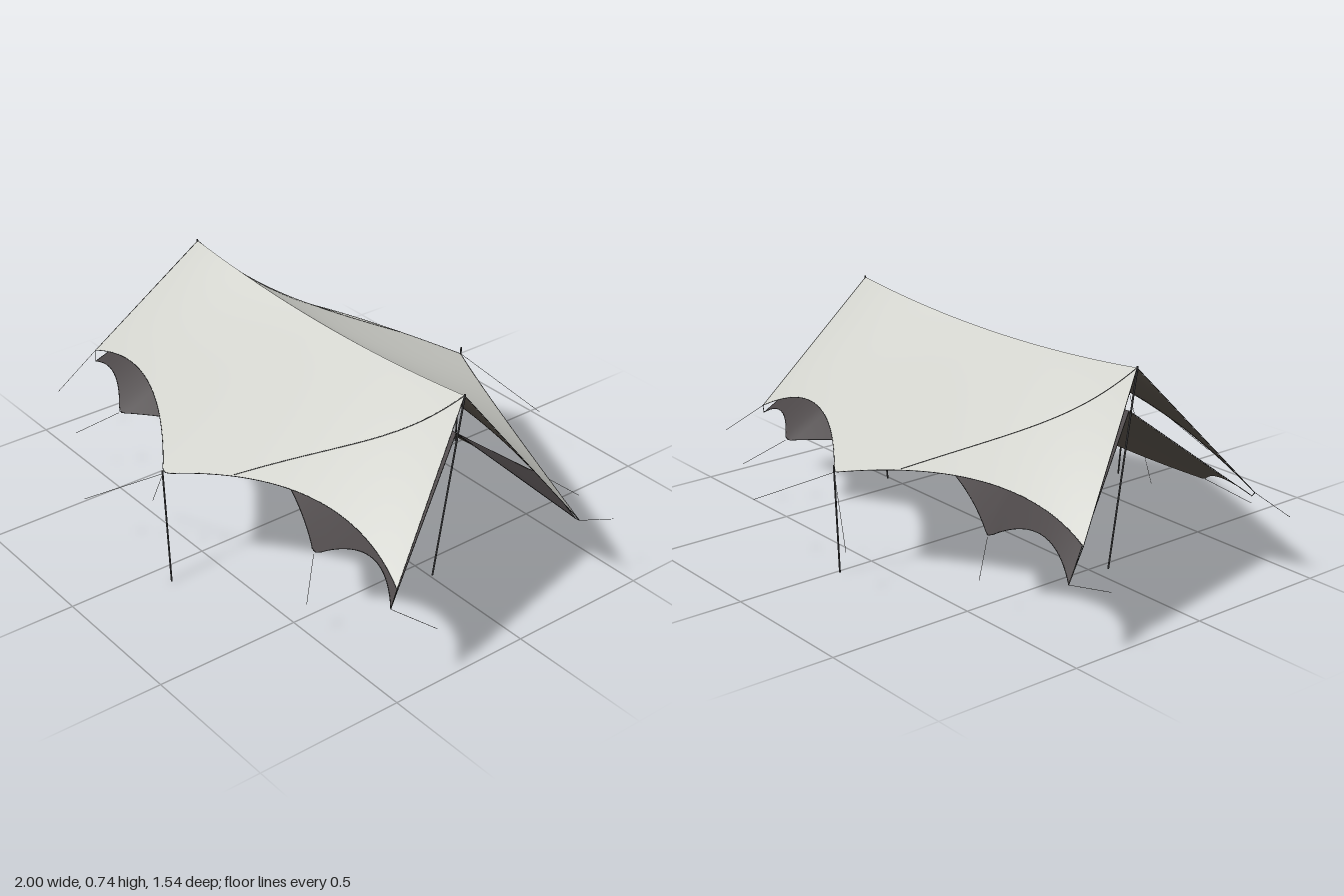
import * as THREE from 'three';

const V = (p) => new THREE.Vector3(...p);

// Curve through corner points with a scalloped arc between each pair:
// nodes = [corner, arcMiddle, corner, arcMiddle, corner ...], sampled by u = 0..1
function scallopedEdge(nodes) {
  const pts = nodes.map(V);
  const x0 = pts[0].x, span = pts[pts.length - 1].x - x0;
  return (u) => {
    let i = 0;
    while (i + 4 < pts.length && (pts[i + 2].x - x0) / span < u) i += 2;
    const [a, m, b] = [pts[i], pts[i + 1], pts[i + 2]];
    const ua = (a.x - x0) / span, ub = (b.x - x0) / span;
    const t = THREE.MathUtils.clamp((u - ua) / (ub - ua), 0, 1);
    const c = m.clone().multiplyScalar(2).addScaledVector(a, -0.5).addScaledVector(b, -0.5);
    return new THREE.QuadraticBezierCurve3(a, c, b).getPoint(t);
  };
}

// Cloth surface hung between a sagging ridge and a scalloped lower edge
function clothSurface(ridge, nodes) {
  const edge = scallopedEdge(nodes);
  const first = V(nodes[0]), last = V(nodes[nodes.length - 1]);
  return (u, v) => {
    const s = 2 * u - 1;
    const top = new THREE.Vector3(ridge.x * s, ridge.mid + (ridge.end - ridge.mid) * s * s, 0);
    const chord = first.clone().lerp(last, u);
    const bulge = edge(u).sub(chord);
    return top.lerp(chord, v).addScaledVector(bulge, Math.pow(v, 1.2));
  };
}

function clothGeometry(surface, flip, nu = 80, nv = 16) {
  const pos = [], idx = [];
  for (let j = 0; j <= nv; j++)
    for (let i = 0; i <= nu; i++) pos.push(...surface(i / nu, j / nv).toArray());
  for (let j = 0; j < nv; j++)
    for (let i = 0; i < nu; i++) {
      const a = j * (nu + 1) + i, b = a + 1, c = a + nu + 1, d = c + 1;
      if (flip) idx.push(a, b, c, b, d, c);
      else idx.push(a, c, b, b, c, d);
    }
  const g = new THREE.BufferGeometry();
  g.setAttribute('position', new THREE.Float32BufferAttribute(pos, 3));
  g.setIndex(idx);
  g.computeVertexNormals();
  return g;
}

export function createModel() {
  const model = new THREE.Group();
  model.name = 'tarpShelter';
  const material = (name, color) => {
    const m = new THREE.MeshStandardMaterial({ color });
    m.name = name;
    return m;
  };
  const canvas = material('paleCanvas', 0xd1d2cc);
  const lining = material('darkLining', 0x4a4546);
  const underside = material('brownUnderside', 0x534d45);
  const poleMat = material('poleGrey', 0x444446);
  const cordMat = material('cordGrey', 0x6a6a6a);
  const trim = material('blackTrim', 0x2a2a2a);

  const add = (geometry, mat, name) => {
    const mesh = new THREE.Mesh(geometry, mat);
    mesh.name = name;
    model.add(mesh);
    return mesh;
  };
  const rod = (from, to, radius, mat, name, sides = 8) => {
    const a = V(from), b = V(to), dir = b.clone().sub(a);
    const mesh = add(new THREE.CylinderGeometry(radius, radius, dir.length(), sides), mat, name);
    mesh.position.copy(a).add(b).multiplyScalar(0.5);
    mesh.quaternion.setFromUnitVectors(new THREE.Vector3(0, 1, 0), dir.normalize());
  };
  const tube = (fn, n, radius, mat, name) => {
    const pts = Array.from({ length: n + 1 }, (_, i) => fn(i / n));
    add(new THREE.TubeGeometry(new THREE.CatmullRomCurve3(pts), n, radius, 5), mat, name);
  };

  // Corners of the upper sheet and the lower lining
  const outer = {
    frontLeft: [0.93, 0.345, 0.45], frontRight: [-0.91, 0.31, 0.32], frontMid: [0.02, 0.37, 0.65],
    backLeft: [0.91, 0.26, -0.32], backRight: [-0.9, 0.315, -0.39], backMid: [-0.02, 0.35, -0.65],
  };
  const inner = {
    frontLeft: [0.945, 0.3, 0.485], frontRight: [-0.88, 0.285, 0.34],
    backLeft: [0.88, 0.245, -0.335], backRight: [-0.95, 0.24, -0.49],
  };
  const low = {
    frontLeft: [0.5, 0.225, 0.42], frontRight: [-0.59, 0.235, 0.43], frontMid: [0, 0.345, 0.27],
    backLeft: [0.59, 0.24, -0.435], backRight: [-0.5, 0.225, -0.42], backMid: [0, 0.345, -0.27],
  };
  const outerRidge = { x: 0.7, end: 0.73, mid: 0.69 };
  const innerRidge = { x: 0.67, end: 0.585, mid: 0.565 };

  const panels = [
    ['upperFront', outerRidge, canvas, false,
      [outer.frontRight, [-0.42, 0.435, 0.415], outer.frontMid, [0.5, 0.435, 0.43], outer.frontLeft]],
    ['upperBack', outerRidge, canvas, true,
      [outer.backRight, [-0.5, 0.405, -0.43], outer.backMid, [0.42, 0.41, -0.415], outer.backLeft]],
    ['lowerFront', innerRidge, lining, false,
      [inner.frontRight, [-0.73, 0.3, 0.355], low.frontRight, [-0.29, 0.295, 0.315], low.frontMid,
        [0.25, 0.29, 0.315], low.frontLeft, [0.72, 0.32, 0.38], inner.frontLeft]],
    ['lowerBack', innerRidge, lining, true,
      [inner.backRight, [-0.72, 0.3, -0.4], low.backRight, [-0.25, 0.29, -0.315], low.backMid,
        [0.29, 0.295, -0.315], low.backLeft, [0.73, 0.29, -0.355], inner.backLeft]],
  ];
  for (const [name, ridge, mat, back, nodes] of panels) {
    const surface = clothSurface(ridge, nodes);
    add(clothGeometry(surface, back), mat, name + 'Panel');
    add(clothGeometry(surface, !back), underside, name + 'Underside').position.y = -0.002;
    // Bound hems on the lower edge and both ends
    tube((t) => surface(t, 1), 80, 0.0011, trim, name + 'Hem');
    for (const u of [0, 1]) tube((t) => surface(u, t), 12, 0.0011, trim, name + 'EndHem');
    // Diagonal seam across the upper panels
    if (mat === canvas) {
      const s = back ? -1 : 1;
      tube((t) => surface(0.5 + s * (0.5 - 0.39 * t), t * 0.99), 30, 0.0014, trim, name + 'Seam');
    }
  }

  // Poles under the two ridge ends and the two side peaks
  const poles = [
    [[0.575, 0, -0.01], [0.702, 0.735, 0]],
    [[-0.535, 0, 0.055], [-0.702, 0.735, 0]],
    [[0.08, 0, 0.675], [0.018, 0.38, 0.65]],
    [[-0.01, 0, -0.632], [-0.022, 0.375, -0.652]],
  ];
  for (const [base, top] of poles) rod(base, top, 0.003, poleMat, 'pole');

  // Guy lines from the peaks and corners
  const cords = [
    [outer.frontMid, [-0.28, 0.17, 0.77]], [outer.frontMid, [-0.24, 0.09, 0.53]],
    [outer.backMid, [0.27, 0.2, -0.77]], [outer.backMid, [-0.16, 0.14, -0.71]],
    [inner.frontLeft, [1, 0.2, 0.35]], [outer.frontRight, [-0.92, 0.19, 0.48]],
    [inner.backRight, [-1, 0.2, -0.37]], [outer.backLeft, [0.91, 0.2, -0.48]],
    [low.frontRight, [-0.69, 0.15, 0.55]], [low.frontLeft, [0.58, 0.12, 0.51]],
    [low.backLeft, [0.69, 0.15, -0.55]], [low.backRight, [-0.57, 0.13, -0.51]],
  ];
  for (const [from, to] of cords) rod(from, to, 0.0008, cordMat, 'guyLine', 5);

  // Short ties joining the lining corners to the upper sheet
  for (const key of Object.keys(inner)) rod(inner[key], outer[key], 0.0014, trim, 'cornerTie', 5);

  return model;
}
